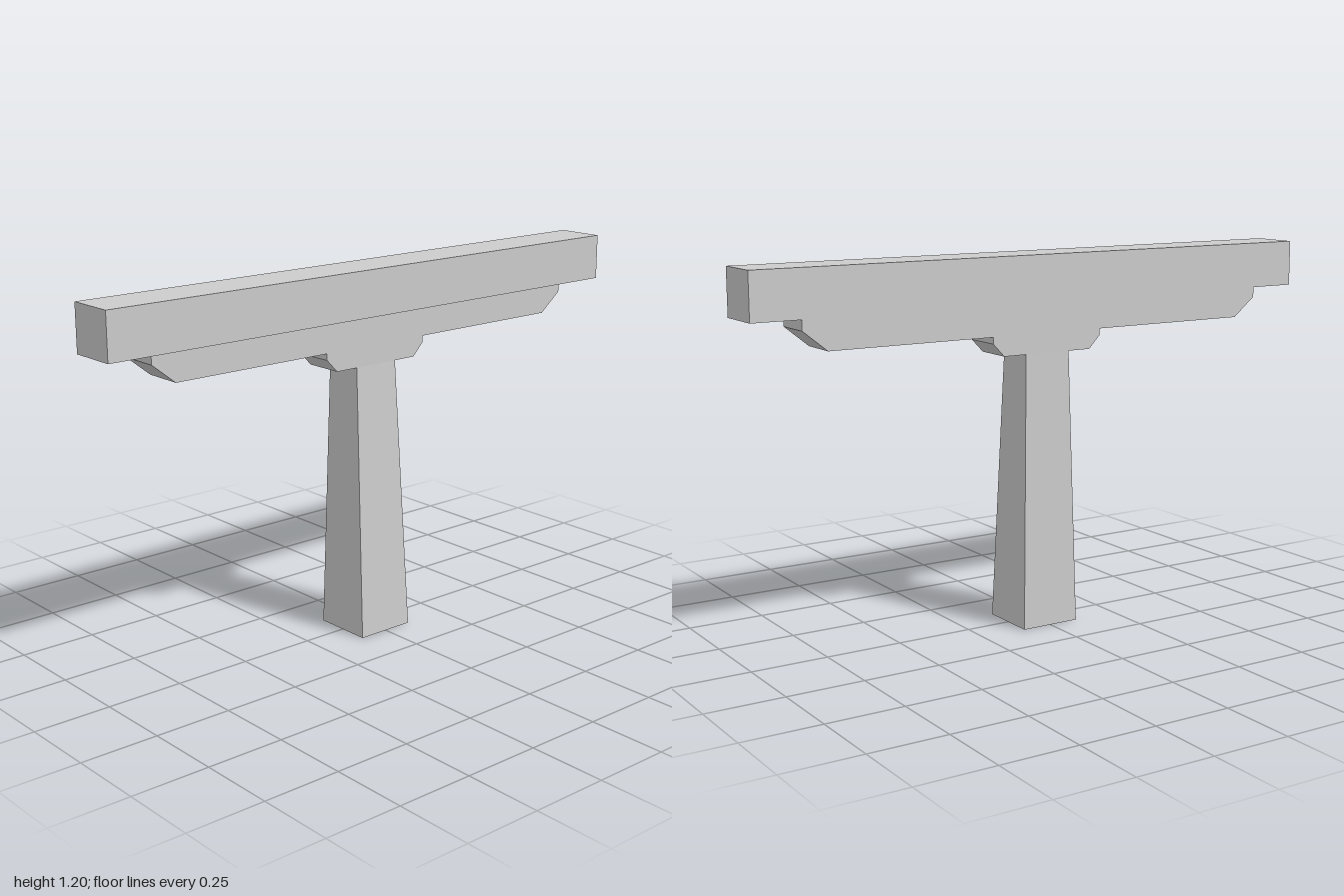
import * as THREE from 'three';

const BACK_X = -0.08; // plane where beam and corbels are flush
const NECK = 0.13;    // width in x of the corbels and of the post top

export function createModel() {
  const group = new THREE.Group();
  const material = new THREE.MeshStandardMaterial({ color: 0xcccccc, flatShading: true });

  const add = (name, geometry) => {
    const mesh = new THREE.Mesh(geometry, material);
    mesh.name = name;
    group.add(mesh);
  };

  // Symmetric plate with chamfered lower corners, extruded across x
  const corbel = (name, topHalf, bottomHalf, top, shoulder, bottom) => {
    const shape = new THREE.Shape([
      [-topHalf, top], [-topHalf, shoulder], [-bottomHalf, bottom],
      [bottomHalf, bottom], [topHalf, shoulder], [topHalf, top],
    ].map(([u, v]) => new THREE.Vector2(u, v)));
    const geometry = new THREE.ExtrudeGeometry(shape, { depth: NECK, bevelEnabled: false });
    add(name, geometry.rotateY(Math.PI / 2).translate(BACK_X, 0, 0));
  };

  // Long top beam
  add('beam', new THREE.BoxGeometry(0.16, 0.15, 2).translate(0, 1.125, 0));

  // Stepped supports under the beam
  corbel('upperCorbel', 0.84, 0.76, 1.05, 1.017, 0.953);
  corbel('lowerCorbel', 0.2, 0.16, 0.953, 0.932, 0.89);

  // Post tapering unevenly up to the corbel width
  const post = new THREE.BoxGeometry(0.2, 0.89, 0.2).translate(0, 0.445, 0);
  const p = post.attributes.position;
  for (let i = 0; i < p.count; i++) {
    if (p.getY(i) < 0.5) continue;
    p.setX(i, p.getX(i) > 0 ? BACK_X + NECK : BACK_X);
    p.setZ(i, Math.sign(p.getZ(i)) * 0.08);
  }
  post.computeVertexNormals();
  add('post', post);

  return group;
}
